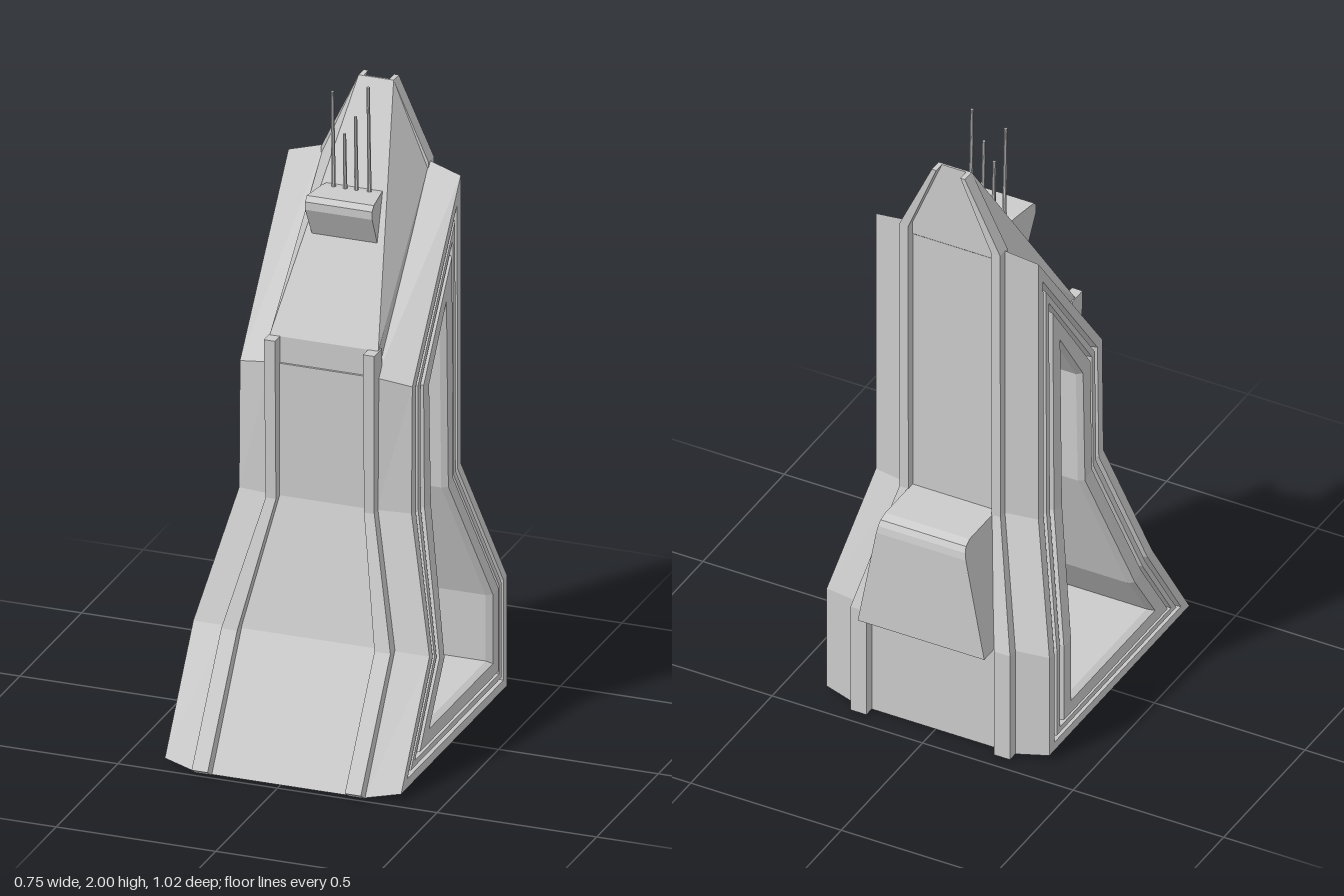
import * as THREE from 'three';
import { ConvexGeometry } from 'three/addons/geometries/ConvexGeometry.js';

const material = new THREE.MeshStandardMaterial({ color: 0xcccccc, flatShading: true });

function add(group, name, geometry) {
  const mesh = new THREE.Mesh(geometry, material);
  mesh.name = name;
  group.add(mesh);
  return mesh;
}

// Skin a list of equal closed loops; "capped" closes both ends, "ring" joins last to first
function loft(loops, { flip = false, capped = false, ring = false } = {}) {
  const n = loops[0].length, index = [];
  const tri = (a, b, c) => index.push(...(flip ? [a, c, b] : [a, b, c]));
  const count = ring ? loops.length : loops.length - 1;
  for (let k = 0; k < count; k++) {
    const a = k * n, b = ((k + 1) % loops.length) * n;
    for (let i = 0; i < n; i++) {
      const j = (i + 1) % n;
      tri(a + i, b + i, b + j);
      tri(a + i, b + j, a + j);
    }
  }
  if (capped) {
    const e = (loops.length - 1) * n;
    for (let i = 1; i < n - 1; i++) {
      tri(0, i, i + 1);
      tri(e, e + i + 1, e + i);
    }
  }
  const g = new THREE.BufferGeometry();
  g.setAttribute('position', new THREE.Float32BufferAttribute(loops.flat(2), 3));
  g.setIndex(index);
  const flat = g.toNonIndexed();
  flat.computeVertexNormals();
  return flat;
}

// Half width that shrinks from low to high between the two knees
function taper(y, low, high) {
  const t = THREE.MathUtils.clamp((y - 0.37) / 0.39, 0, 1);
  return low + (high - low) * t;
}

// Side profiles as [z, y], from front bottom over the top to back bottom
const core = [[0.475, 0], [0.235, 0.37], [0.125, 0.76], [0.125, 1.18],
  [-0.305, 1.7], [-0.305, 0.76], [-0.42, 0.37], [-0.42, 0]];
const rim = [[0.455, 0.02], [0.225, 0.365], [0.112, 0.76], [0.105, 1.16],
  [-0.288, 1.675], [-0.288, 0.76], [-0.405, 0.37], [-0.405, 0.02]];
const opening = [[0.22, 0.15], [0.105, 0.315], [-0.03, 0.735], [-0.03, 1.115],
  [-0.152, 1.3], [-0.152, 0.735], [-0.27, 0.36], [-0.27, 0.15]];

// Steps of the side frame: [0 rim .. 1 opening, offset outward]
const steps = [[0, 0], [0.22, 0], [0.25, -0.025], [0.31, -0.025], [0.34, 0],
  [0.48, 0], [0.51, -0.025], [0.57, -0.025], [0.6, 0.004], [0.93, 0.004], [1, -0.015]];

function bodyLoops(side) {
  const loops = [core.map(([z, y]) => [side * taper(y, 0.265, 0.165), y, z])];
  for (const [t, off] of steps) {
    loops.push(rim.map(([z, y], i) => {
      const yy = y + (opening[i][1] - y) * t;
      const zz = z + (opening[i][0] - z) * t;
      return [side * (taper(yy, 0.37, 0.27) + off), yy, zz];
    }));
  }
  return loops;
}

// Raised rib: rows of [y, inner z, outer z, inner x, outer x], running upward
function rib(rows, side, facing) {
  const loops = rows.map(([y, zi, zo, xi, xo]) => [
    [side * xo, y, zi], [side * xo, y, zo], [side * xi, y, zo], [side * xi, y, zi]]);
  return loft(loops, { flip: side * facing < 0, capped: true });
}

// Extrude a [z, y] outline across x and set its half width by a rule
function crossPart(points, halfWidth) {
  const shape = new THREE.Shape(points.map(([z, y]) => new THREE.Vector2(-z, y)));
  const g = new THREE.ExtrudeGeometry(shape, { depth: 2, bevelEnabled: false });
  g.translate(0, 0, -1).rotateY(Math.PI / 2);
  const p = g.attributes.position;
  for (let i = 0; i < p.count; i++) {
    p.setX(i, Math.sign(p.getX(i)) * halfWidth(p.getY(i), p.getZ(i)));
  }
  g.computeVertexNormals();
  return g;
}

export function createModel() {
  const model = new THREE.Group();
  model.name = 'tower';

  // Body with stepped side frames and an opening right through
  add(model, 'body', loft([...bodyLoops(-1).reverse(), ...bodyLoops(1)], { ring: true }));

  // Sloping spire between the side frames
  const spire = [];
  for (const s of [-1, 1]) {
    for (const [x, y, z] of [[0.165, 1.16, 0.123], [0.17, 1.265, 0.123], [0.055, 1.94, -0.3],
      [0.055, 1.94, -0.307], [0.165, 1.7, -0.307], [0.165, 1.66, -0.307]]) {
      spire.push(new THREE.Vector3(s * x, y, z));
    }
  }
  add(model, 'spire', new ConvexGeometry(spire));

  // Ribs along the edges of the front and back panels
  const frontRows = [[0, 0.44, 0.48, 0.215, 0.265], [0.02, 0.43, 0.51, 0.215, 0.265],
    [0.375, 0.2, 0.27, 0.215, 0.265], [0.76, 0.1, 0.155, 0.138, 0.17],
    [1.265, 0.1, 0.163, 0.138, 0.173]];
  const backRows = [[0, -0.4, -0.453, 0.212, 0.265], [0.37, -0.4, -0.453, 0.212, 0.265],
    [0.76, -0.29, -0.332, 0.138, 0.168], [1.7, -0.29, -0.335, 0.138, 0.168],
    [1.94, -0.3, -0.342, 0.04, 0.055]];
  for (const s of [-1, 1]) {
    const sideName = s > 0 ? 'left' : 'right';
    add(model, `${sideName}FrontRib`, rib(frontRows, s, 1));
    add(model, `${sideName}BackRib`, rib(backRows, s, -1));
  }

  // Housing on the back with a rounded top edge, wider at its foot
  const housing = [[-0.28, 0.76], [-0.28, 0.375], [-0.51, 0.375], [-0.51, 0.71],
    [-0.506, 0.733], [-0.496, 0.75], [-0.47, 0.76]];
  add(model, 'backHousing', crossPart(housing.reverse(),
    (y) => 0.21 - 0.07 * THREE.MathUtils.clamp((y - 0.375) / 0.385, 0, 1)));

  // Antenna pod on the front slope
  const pod = [[-0.045, 1.53], [-0.14, 1.66], [-0.1, 1.665], [-0.01, 1.665], [0.004, 1.65], [0.004, 1.625]];
  add(model, 'antennaPod', crossPart(pod, (y, z) => 0.105 + Math.min(0, z + 0.03) * 0.18));

  // Four thin antennas, leaning a little forward
  for (const [x, top] of [[-0.057, 1.97], [-0.02, 1.84], [0.015, 1.9], [0.055, 2]]) {
    const h = top - 1.64;
    const g = new THREE.CylinderGeometry(0.005, 0.007, h, 8);
    const mast = add(model, 'antenna', g);
    mast.position.set(x, 1.64 + h / 2, -0.099);
    mast.rotation.x = 0.03;
  }
  return model;
}
